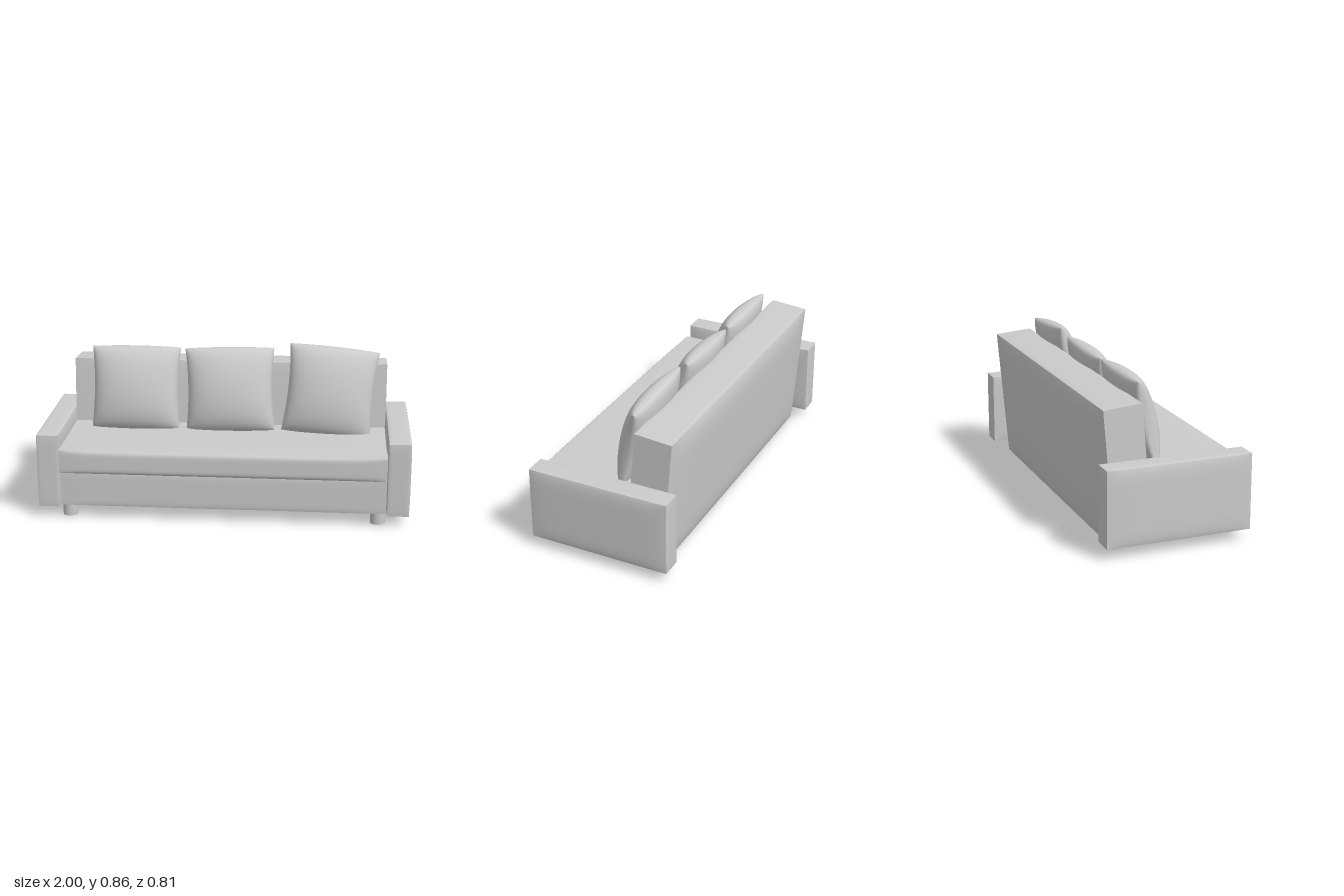
import * as THREE from 'three';

const material = new THREE.MeshStandardMaterial({ color: 0xcccccc });

function addMesh(parent, name, geometry, x, y, z) {
  const mesh = new THREE.Mesh(geometry, material);
  mesh.name = name;
  mesh.position.set(x, y, z);
  parent.add(mesh);
  return mesh;
}

// Upholstered block: a box whose faces swell quickly away from their edges
function paddedBox(w, h, d, { x = 0, y = 0, front = 0, back = 0 }) {
  const geo = new THREE.BoxGeometry(2, 2, 2, 16, 16, 16);
  const p = geo.attributes.position;
  const spread = (t) => Math.sin((t * Math.PI) / 2); // finer grid near the edges
  const swell = (a, b) => (1 - a ** 8) * (1 - b ** 8);
  for (let i = 0; i < p.count; i++) {
    const u = spread(p.getX(i)), v = spread(p.getY(i)), t = spread(p.getZ(i));
    p.setXYZ(
      i,
      u * (w / 2 + x * swell(v, t)),
      v * (h / 2 + y * swell(u, t)),
      t * (d / 2 + (t > 0 ? front : back) * swell(u, v))
    );
  }
  geo.computeVertexNormals();
  return geo;
}

// One side of a pillow: a sheet bulging from a pinched square seam
function pillowSheet(halfW, halfH, depth, sag) {
  const geo = new THREE.PlaneGeometry(2, 2, 28, 28);
  const p = geo.attributes.position;
  for (let i = 0; i < p.count; i++) {
    const u = Math.sin((p.getX(i) * Math.PI) / 2);
    const v = Math.sin((p.getY(i) * Math.PI) / 2);
    const bulge = Math.max(0, (1 - u ** 2) * (1 - v ** 2)) ** 0.38;
    p.setXYZ(
      i,
      u * halfW * (1 - 0.06 * (1 - v * v)),
      v * halfH * (1 + 0.03 * (1 - u * u)),
      depth * bulge * (1 - sag * v)
    );
  }
  geo.computeVertexNormals();
  return geo;
}

function createPillow(name, x, y, halfH, roll) {
  const pillow = new THREE.Group();
  pillow.name = name;
  addMesh(pillow, 'pillowFront', pillowSheet(0.247, halfH, 0.113, 0.08), 0, 0, 0);
  const back = addMesh(pillow, 'pillowBack', pillowSheet(0.247, halfH, 0.056, -0.1), 0, 0, 0);
  back.rotation.y = Math.PI;
  pillow.position.set(x, y, -0.1);
  pillow.rotation.set(-0.22, 0, roll);
  return pillow;
}

export function createModel() {
  const sofa = new THREE.Group();
  sofa.name = 'sofa';

  // Thin front rail below the seat cushion, open underneath
  addMesh(sofa, 'frontRail', paddedBox(1.74, 0.19, 0.03, { front: 0.004 }), 0, 0.168, 0.353);
  addMesh(sofa, 'seatCushion', paddedBox(1.74, 0.126, 0.57, { y: 0.003, front: 0.014 }), 0, 0.325, 0.105);

  // Leaning backrest that reaches the floor
  const back = addMesh(sofa, 'backrest',
    paddedBox(1.74, 0.727, 0.205, { y: 0.004, front: 0.006, back: 0.022 }), 0, 0.373, -0.2425);
  back.rotation.x = -0.083;

  // Arms and front legs
  for (const [side, s] of [['left', 1], ['right', -1]]) {
    addMesh(sofa, side + 'Arm',
      paddedBox(0.115, 0.4, 0.772, { x: 0.009, y: 0.004, front: 0.003, back: 0.003 }),
      s * 0.933, 0.262, -0.016);
    addMesh(sofa, side + 'Leg', new THREE.CylinderGeometry(0.04, 0.04, 0.07, 24), s * 0.828, 0.04, 0.315);
  }

  // Loose pillows
  sofa.add(createPillow('rightPillow', -0.517, 0.6, 0.228, 0));
  sofa.add(createPillow('middlePillow', 0.006, 0.602, 0.228, 0.025));
  sofa.add(createPillow('leftPillow', 0.56, 0.604, 0.24, -0.09));

  return sofa;
}
